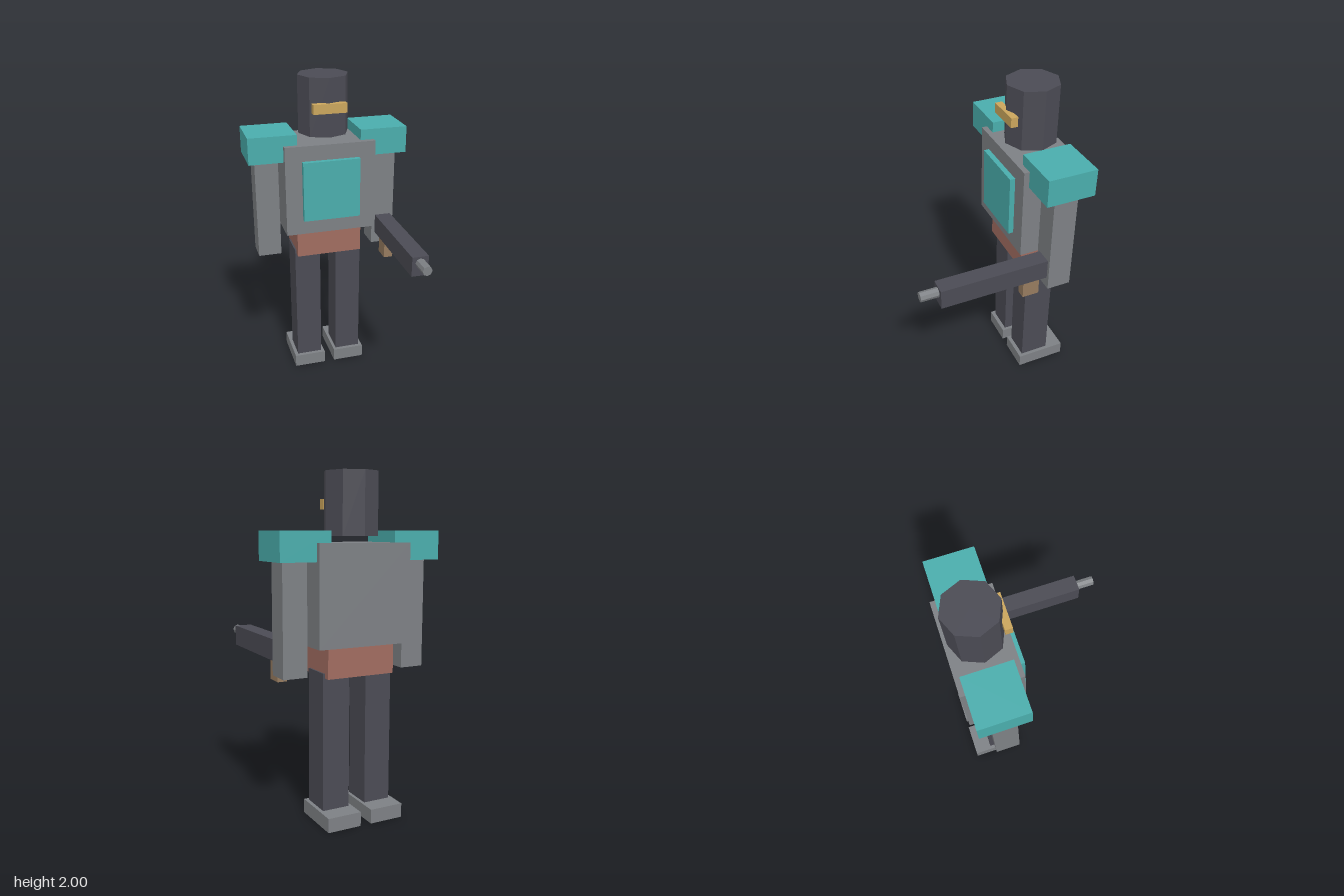
import * as THREE from 'three';

const material = (name, color) => {
  const m = new THREE.MeshStandardMaterial({ color });
  m.name = name;
  return m;
};

export function createModel() {
  const grey = material('steel grey', 0x7d8084);
  const dark = material('dark charcoal', 0x4b4b54);
  const teal = material('teal', 0x4aadac);
  const brick = material('brick', 0xa06c60);
  const tan = material('tan', 0x967b5f);
  const gold = material('gold', 0xcaa55c);

  const model = new THREE.Group();
  model.name = 'armouredFigure';

  const add = (name, geometry, mat, x, y, z) => {
    const mesh = new THREE.Mesh(geometry, mat);
    mesh.name = name;
    mesh.position.set(x, y, z);
    model.add(mesh);
  };

  // Box given by its extents along each axis
  const box = (name, mat, [x0, x1], [y0, y1], [z0, z1]) =>
    add(name, new THREE.BoxGeometry(x1 - x0, y1 - y0, z1 - z0), mat,
      (x0 + x1) / 2, (y0 + y1) / 2, (z0 + z1) / 2);

  // Eight-sided prism with flat facets
  const prism = (radius, length) => {
    const g = new THREE.CylinderGeometry(radius, radius, length, 8).toNonIndexed();
    g.computeVertexNormals();
    return g;
  };

  // Head and visor
  add('head', prism(0.158, 0.355), dark, 0, 1.8225, -0.323);
  box('visor', gold, [-0.104, 0.104], [1.795, 1.853], [-0.188, -0.146]);

  // Torso
  box('torso', grey, [-0.285, 0.285], [1.04, 1.61], [-0.502, -0.145]);
  box('chestPlate', teal, [-0.18, 0.18], [1.137, 1.515], [-0.155, -0.113]);
  box('waist', brick, [-0.21, 0.21], [0.863, 1.05], [-0.457, -0.189]);

  // Paired limbs
  for (const [side, s] of [['left', 1], ['right', -1]]) {
    const span = (a, b) => (s > 0 ? [a, b] : [-b, -a]);
    box(`${side}ShoulderPad`, teal, span(0.2, 0.498), [1.51, 1.675], [-0.472, -0.178]);
    box(`${side}Arm`, grey, span(0.307, 0.453), [0.873, 1.58], [-0.396, -0.249]);
    box(`${side}Leg`, dark, span(0.053, 0.22), [0.02, 0.89], [-0.415, -0.23]);
    box(`${side}Foot`, grey, span(0.034, 0.242), [0, 0.084], [-0.525, -0.205]);
  }

  // Long weapon held in the left hand
  box('weaponBody', dark, [0.33, 0.433], [0.946, 1.07], [-0.26, 0.416]);
  box('weaponGrip', tan, [0.351, 0.409], [0.82, 0.95], [-0.213, -0.108]);
  const barrel = prism(0.03, 0.13);
  barrel.rotateX(Math.PI / 2);
  add('weaponBarrel', barrel, grey, 0.381, 1.03, 0.46);

  return model;
}
